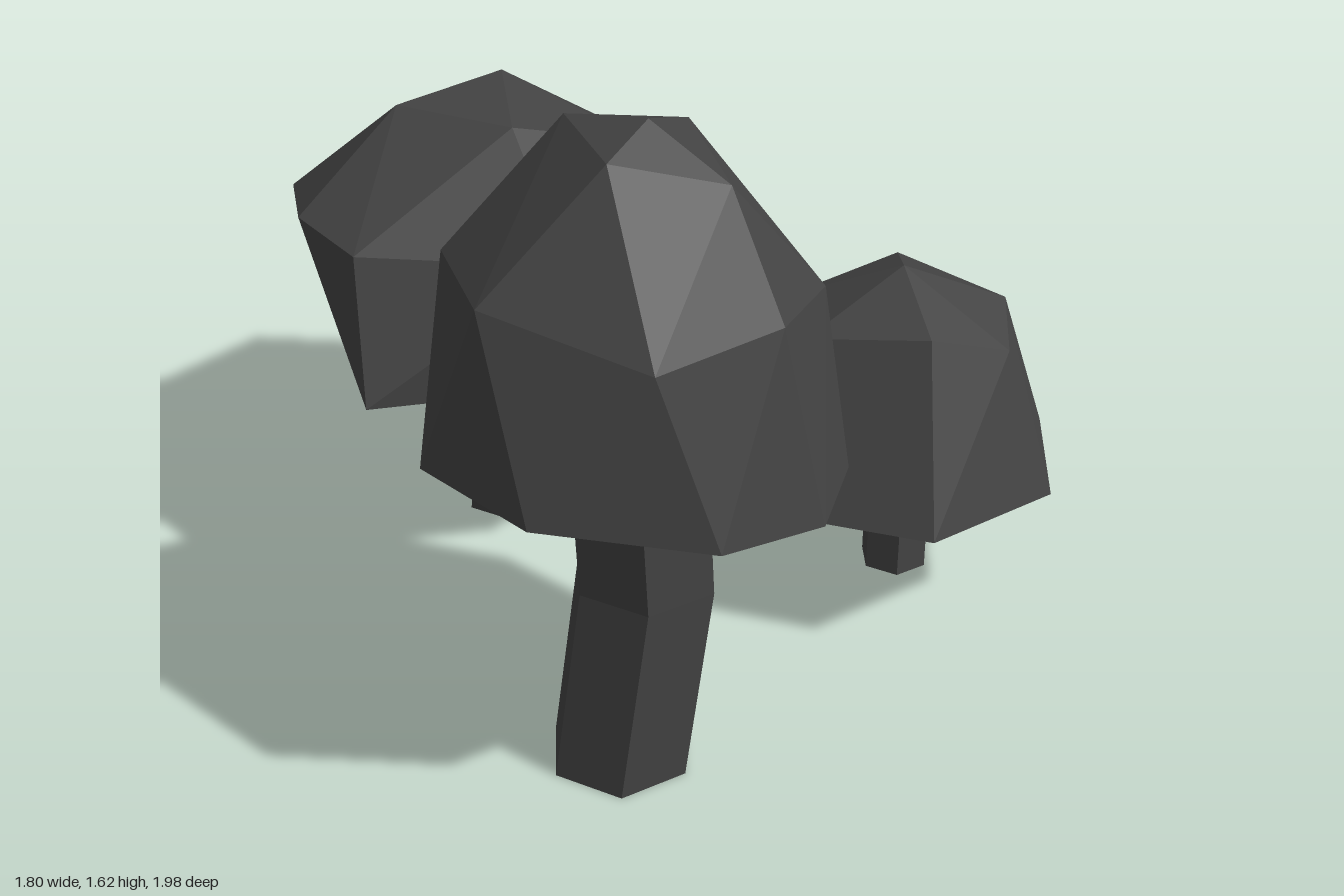
import * as THREE from 'three';
import { ConvexGeometry } from 'three/addons/geometries/ConvexGeometry.js';

const material = new THREE.MeshStandardMaterial({ color: 0x444444, flatShading: true });

// Faceted dome over the rim centre. Each layer is [share of the height, ...angles in degrees];
// its points lie on a half ellipsoid. The slope tips the rim along x and fades out upwards.
function makeCap([cx, cy, cz], [rx, height, rz], slope, layers) {
  const points = layers.flatMap(([h, ...angles]) => angles.map(degrees => {
    const angle = THREE.MathUtils.degToRad(degrees);
    const spread = Math.sqrt(1 - h * h);
    const x = rx * spread * Math.cos(angle);
    const z = rz * spread * Math.sin(angle);
    return new THREE.Vector3(cx + x, cy + height * h + slope * x * (1 - h), cz + z);
  }));
  const cap = new THREE.Mesh(new ConvexGeometry(points), material);
  cap.name = 'cap';
  return cap;
}

// Six-sided stem: the rings of a cylinder are moved onto the given centres, lowest first
function makeStem(radius, centres) {
  const segments = centres.length - 1;
  const geometry = new THREE.CylinderGeometry(radius, radius, 1, 6, segments);
  geometry.rotateY(0.3);
  const pos = geometry.attributes.position;
  for (let i = 0; i < pos.count; i++) {
    const [x, y, z] = centres[Math.round((pos.getY(i) + 0.5) * segments)];
    pos.setXYZ(i, pos.getX(i) + x, y, pos.getZ(i) + z);
  }
  geometry.computeVertexNormals();
  const stem = new THREE.Mesh(geometry, material);
  stem.name = 'stem';
  return stem;
}

function makeMushroom(name, cap, stem) {
  const mushroom = new THREE.Group();
  mushroom.name = name;
  mushroom.add(cap, stem);
  return mushroom;
}

export function createModel() {
  const model = new THREE.Group();
  model.name = 'mushroomCluster';

  // Tall mushroom with a tipped, egg-shaped cap
  model.add(makeMushroom('tallMushroom',
    makeCap([-0.46, 0.81, 0.52], [0.48, 0.81, 0.48], -0.18, [
      [0, -103, -53, -21, 10, 39, 77, 112, 160, 200],
      [0.5, -84, -51, -3, 36, 128],
      [0.56, 84, 186, 229],
      [0.87, -15, 77],
      [0.94, 152, 256],
      [0.995, 90],
    ]),
    makeStem(0.17, [[-0.48, 0, 0.51], [-0.44, 0.5, 0.55], [-0.475, 0.95, 0.55]])));

  // Wide mushroom on a thin, bent stem
  model.add(makeMushroom('wideMushroom',
    makeCap([0, 0.63, -0.435], [0.61, 0.58, 0.58], 0, [
      [0, -74, -44, 35, 86, 161],
      [0.475, 3, 237],
      [0.57, -57, 110, 172, 203],
      [0.785, 48],
      [0.92, -43, 230],
      [0.957, 113],
    ]),
    makeStem(0.1, [[0.02, 0.025, -0.44], [-0.042, 0.45, -0.345], [-0.02, 0.7, -0.4]])));

  // Small mushroom on a short, straight stem
  model.add(makeMushroom('smallMushroom',
    makeCap([0.51, 0.365, 0.465], [0.415, 0.52, 0.415], 0, [
      [0, -103, -63, -25, 23, 73, 126, 178, 219],
      [0.59, -81, -24],
      [0.72, -111, 77],
      [0.755, 28, 195],
      [0.84, -43, 122],
      [1, 0],
    ]),
    makeStem(0.085, [[0.525, 0.045, 0.475], [0.525, 0.45, 0.475]])));

  return model;
}
